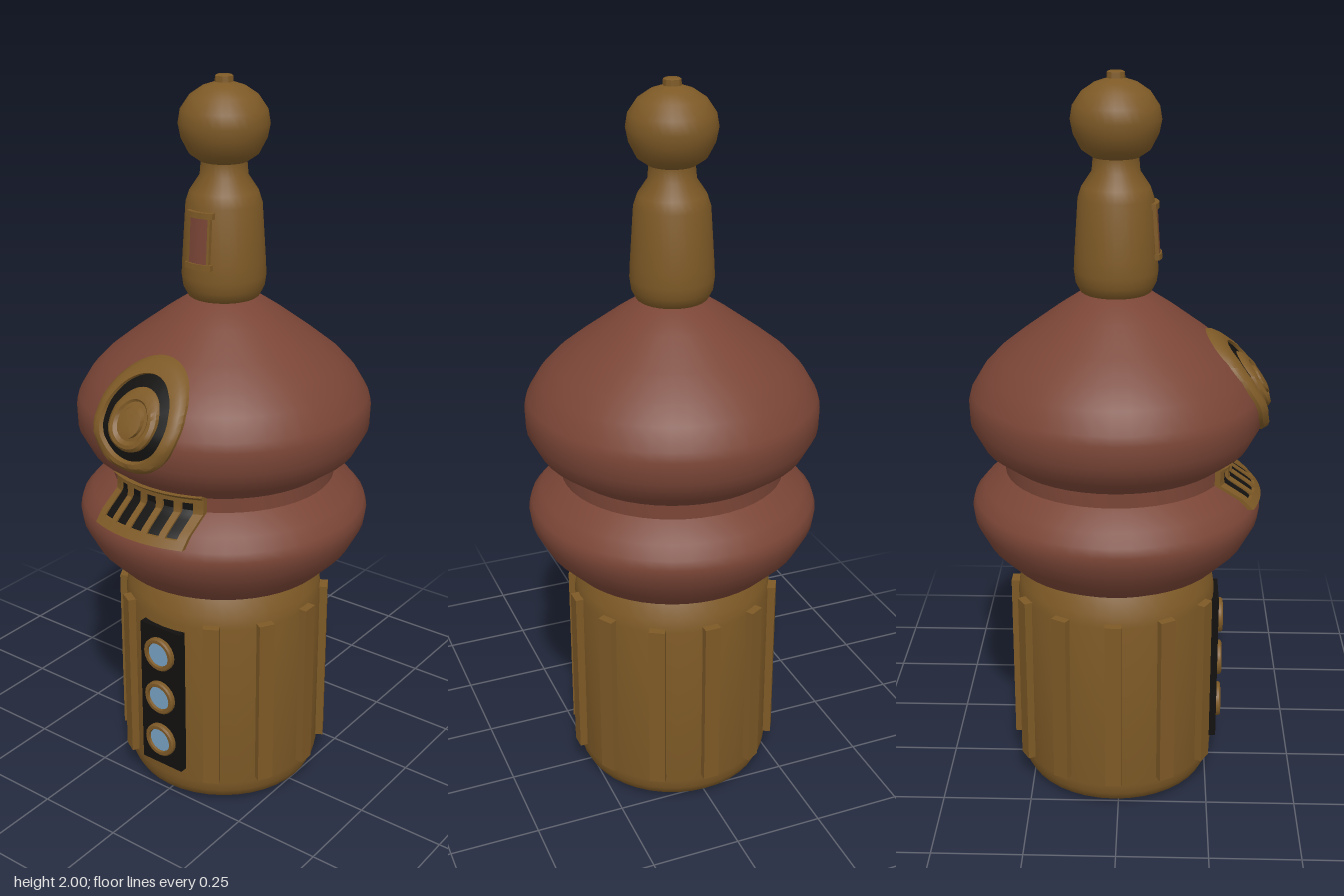
import * as THREE from 'three';
import { toCreasedNormals } from 'three/addons/utils/BufferGeometryUtils.js';

const mat = (name, color) => {
  const m = new THREE.MeshStandardMaterial({ color });
  m.name = name;
  return m;
};

// Outlines as [radius, height], from bottom to top
const BASE = [[0, 0], [0.235, 0], [0.262, 0.015], [0.275, 0.04], [0.28, 0.07], [0.28, 0.57], [0.274, 0.605], [0.25, 0.65], [0, 0.65]];
const BODY = [[0.2, 0.645], [0.25, 0.648], [0.3, 0.675], [0.36, 0.735], [0.395, 0.8], [0.4, 0.835], [0.393, 0.86], [0.365, 0.893],
  [0.306, 0.935], [0.306, 0.975], [0.366, 1.02], [0.398, 1.08], [0.4, 1.14], [0.393, 1.165], [0.36, 1.22], [0.318, 1.265],
  [0.255, 1.315], [0.16, 1.385], [0.085, 1.435], [0, 1.44]];
const NECK = [[0.08, 1.425], [0.095, 1.435], [0.108, 1.46], [0.112, 1.49], [0.11, 1.53], [0.1, 1.68], [0.09, 1.71], [0.063, 1.75],
  [0.06, 1.785], [0.06, 1.795]];
const KNOB = [[0.045, 1.78], [0.062, 1.786], [0.09, 1.805], [0.111, 1.845], [0.118, 1.88], [0.112, 1.915], [0.088, 1.95], [0.055, 1.972],
  [0.024, 1.982], [0.023, 1.997], [0.018, 2], [0, 2]];

const lathe = (pts, segments = 40, crease = 0.7) => toCreasedNormals(
  new THREE.LatheGeometry(pts.map(p => new THREE.Vector2(...p)), segments), crease);

// Radius of an outline at a height
function radiusAt(outline, y) {
  for (let i = 1; i < outline.length; i++) {
    const [r0, y0] = outline[i - 1], [r1, y1] = outline[i];
    if (y <= y1 && y1 > y0) return r0 + (r1 - r0) * Math.max(0, (y - y0) / (y1 - y0));
  }
  return outline[outline.length - 1][0];
}

// Pushes a front-facing relief forward so that it hugs a turned surface
function drape(geo, outline) {
  const p = geo.attributes.position;
  for (let i = 0; i < p.count; i++) {
    const x = p.getX(i), r = radiusAt(outline, p.getY(i));
    p.setZ(i, p.getZ(i) + Math.sqrt(Math.max(r * r - x * x, 0)));
  }
  return toCreasedNormals(geo, 0.6);
}

export function createModel() {
  const gold = mat('aged brass', 0x7d5926);
  const red = mat('reddish brown', 0x7a4536);
  const black = mat('black', 0x121110);
  const blue = mat('pale blue', 0x76a0c2);

  const model = new THREE.Group();
  const add = (name, geo, material, parent = model) => {
    const m = new THREE.Mesh(geo, material);
    m.name = name;
    parent.add(m);
    return m;
  };
  const group = name => {
    const g = new THREE.Group();
    g.name = name;
    model.add(g);
    return g;
  };

  // Turned main parts
  add('base', lathe(BASE), gold);
  add('body', lathe(BODY, 48), red);
  add('neck', lathe(NECK, 32), gold);
  add('topKnob', lathe(KNOB, 32), gold);

  // Ribs around the base, leaving out the front for the panel
  const ribs = group('ribs');
  for (let i = 1; i < 12; i++) {
    const a = i * Math.PI / 6;
    const rib = add('rib', new THREE.BoxGeometry(0.045, 0.5, 0.04), gold, ribs);
    rib.position.set(Math.sin(a) * 0.28, 0.332, Math.cos(a) * 0.28);
    rib.rotation.y = a;
  }

  // Panel with three lamps
  const panel = group('lampPanel');
  add('panelPlate', new THREE.BoxGeometry(0.138, 0.445, 0.05), black, panel).position.set(0, 0.328, 0.268);
  const ringProfile = [[0.05, 0], [0.05, 0.01], [0.046, 0.014], [0.037, 0.014], [0.035, 0.005]];
  for (const y of [0.19, 0.33, 0.47]) {
    add('lampRing', lathe(ringProfile, 20).rotateX(Math.PI / 2), gold, panel).position.set(0, y, 0.293);
    add('lampGlass', new THREE.CircleGeometry(0.036, 20), blue, panel).position.set(0, y, 0.3);
  }

  // Plate between two corners that follows a turned part
  const plate = (name, x0, x1, y0, y1, back, front, outline, material, parent) => {
    const nx = Math.max(2, Math.round((x1 - x0) / 0.015)), ny = Math.max(2, Math.round((y1 - y0) / 0.01));
    const geo = new THREE.BoxGeometry(x1 - x0, y1 - y0, front - back, nx, ny, 1);
    geo.translate((x0 + x1) / 2, (y0 + y1) / 2, (front + back) / 2);
    add(name, drape(geo, outline), material, parent);
  };

  // Grille at the waist
  const grille = group('grille');
  plate('grilleBacking', -0.14, 0.14, 0.87, 0.98, -0.002, 0.006, BODY, black, grille);
  plate('grilleBottom', -0.146, 0.146, 0.865, 0.885, -0.01, 0.014, BODY, gold, grille);
  plate('grilleTop', -0.146, 0.146, 0.963, 0.985, -0.01, 0.014, BODY, gold, grille);
  for (let i = 0; i < 6; i++) {
    const x = (i - 2.5) * 0.0535, w = i % 5 ? 0.0095 : 0.0122;
    plate('grilleBar', x - w, x + w, 0.885, 0.963, -0.01, 0.014, BODY, gold, grille);
  }

  // Round medallion on the upper bulge, from rim to centre
  const medallion = group('medallion');
  const relief = (name, pts, material) => {
    const geo = new THREE.LatheGeometry(pts.map(p => new THREE.Vector2(...p)), 48);
    geo.rotateX(Math.PI / 2).translate(0, 1.19, 0);
    add(name, drape(geo, BODY), material, medallion);
  };
  relief('medallionRim', [[0.136, -0.02], [0.136, 0.01], [0.128, 0.019], [0.116, 0.021], [0.104, 0.018], [0.099, 0.004]], gold);
  relief('medallionGroove', [[0.1, 0.006], [0.088, 0.006], [0.072, 0.006]], black);
  relief('medallionBoss', [[0.075, 0.003], [0.072, 0.015], [0.062, 0.021], [0.052, 0.019], [0.045, 0.01], [0.037, 0.01],
    [0.034, 0.021], [0.018, 0.023], [0, 0.023]], gold);

  // Small spool-shaped badge on the neck
  const badge = group('neckBadge');
  plate('badgeInlay', -0.029, 0.029, 1.535, 1.66, -0.005, 0.007, NECK, red, badge);
  for (const s of [-1, 1]) {
    plate('badgeCap', -0.041, 0.041, 1.5975 + s * 0.066 - 0.0075, 1.5975 + s * 0.066 + 0.0075, -0.008, 0.012, NECK, gold, badge);
    plate('badgeSide', s * 0.031 - 0.003, s * 0.031 + 0.003, 1.535, 1.66, -0.008, 0.009, NECK, gold, badge);
  }

  model.position.z = -0.013;
  const root = new THREE.Group();
  root.name = 'ornateDevice';
  model.name = 'device';
  root.add(model);
  return root;
}
